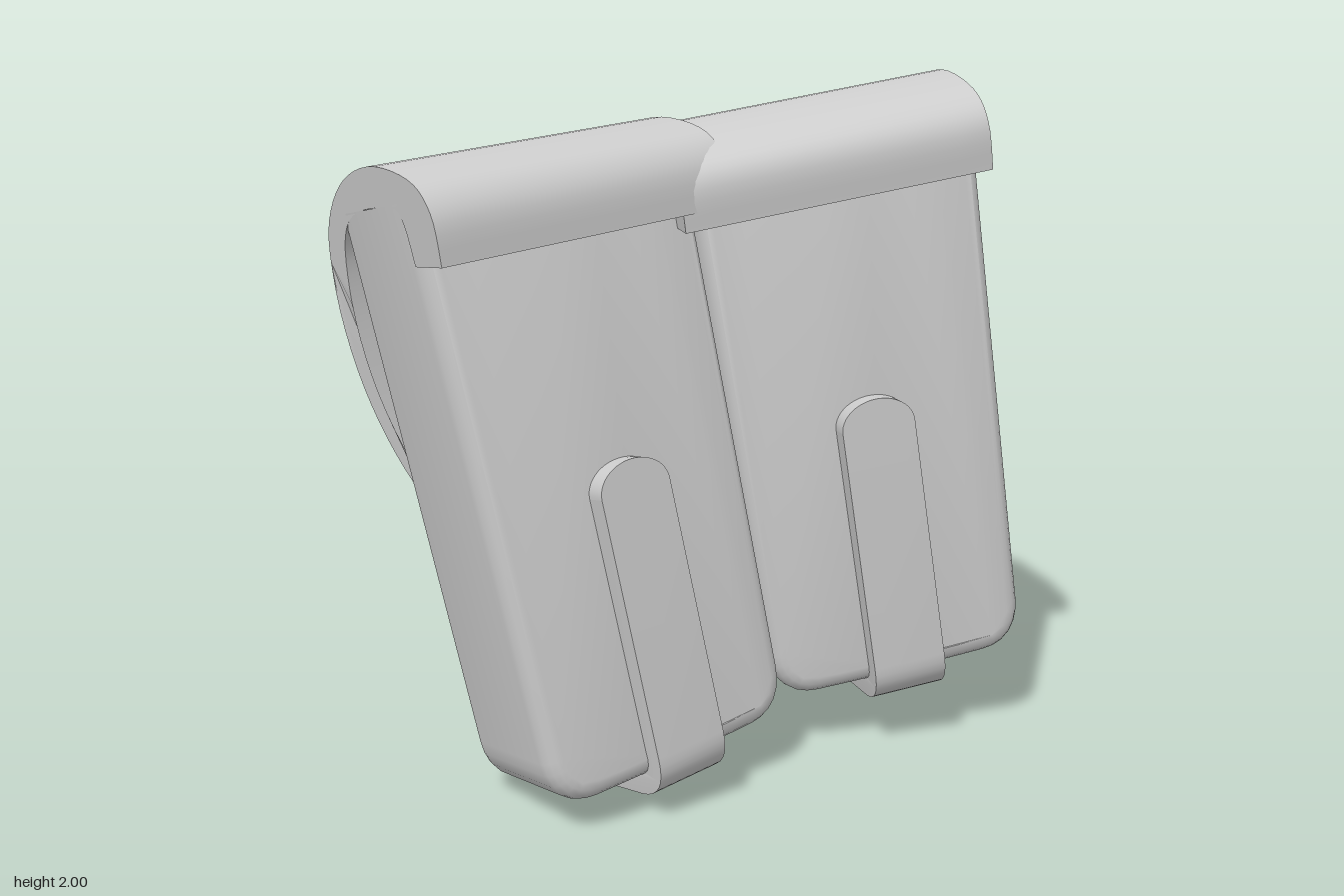
import * as THREE from 'three';
import { toCreasedNormals } from 'three/addons/utils/BufferGeometryUtils.js';

const material = new THREE.MeshStandardMaterial({ color: 0xcccccc });

function mesh(name, geometry, crease = 0.7) {
  const m = new THREE.Mesh(toCreasedNormals(geometry, crease), material);
  m.name = name;
  return m;
}

// Extrudes a side profile (x = -depth, y = height) across the width, centred on x = 0
function extrudeAcross(shape, width, steps = 1) {
  const g = new THREE.ExtrudeGeometry(shape, { depth: width, steps, bevelEnabled: false, curveSegments: 8 });
  return g.translate(0, 0, -width / 2).rotateY(Math.PI / 2);
}

function reshape(geometry, rule) {
  const p = geometry.attributes.position;
  const v = new THREE.Vector3();
  for (let i = 0; i < p.count; i++) {
    rule(v.fromBufferAttribute(p, i));
    p.setXYZ(i, v.x, v.y, v.z);
  }
  return geometry;
}

const sideSpline = (points) => new THREE.SplineCurve(points.map(([z, y]) => new THREE.Vector2(-z, y)));

// Soft box: rounded lower corners, tapering slightly towards the bottom
function makeBody() {
  const w = 0.375, top = 1.59, low = 0.05, r = 0.09;
  const s = new THREE.Shape();
  s.moveTo(-w, top);
  s.lineTo(-w, low + r);
  s.quadraticCurveTo(-w, low, -w + r, low);
  for (let i = 1; i <= 8; i++) s.lineTo(-w + r + (2 * (w - r) * i) / 8, low);
  s.quadraticCurveTo(w, low, w, low + r);
  s.lineTo(w, top);
  for (let i = 1; i < 8; i++) s.lineTo(w - (2 * w * i) / 8, top);
  const g = new THREE.ExtrudeGeometry(s, {
    depth: 0.34, bevelSize: 0.05, bevelThickness: 0.05, bevelSegments: 4, curveSegments: 6,
  }).translate(0, 0, -0.17);
  reshape(g, (v) => {
    v.x *= 0.93 + 0.08 * v.y / 1.6;
    v.z *= 1.02 - 0.5 * v.x * v.x;
  });
  return mesh('pouchBody', g);
}

// Cover: front lip, domed top and a long tongue narrowing down the back; sags towards the joint
function makeFlap(jointSide) {
  const outer = sideSpline([
    [0.32, 1.47], [0.325, 1.6], [0.25, 1.69], [0.05, 1.745], [-0.14, 1.72],
    [-0.28, 1.62], [-0.335, 1.47], [-0.36, 1.2], [-0.372, 0.95], [-0.375, 0.76],
  ]);
  const inner = sideSpline([
    [-0.305, 0.76], [-0.295, 0.95], [-0.28, 1.2], [-0.25, 1.42], [-0.2, 1.57],
    [-0.1, 1.635], [0.1, 1.635], [0.165, 1.6], [0.18, 1.48],
  ]);
  const s = new THREE.Shape([...outer.getPoints(44), ...inner.getPoints(36)]);
  const g = reshape(extrudeAcross(s, 2, 10), (v) => {
    const t = v.x;
    const k = v.z < 0 ? THREE.MathUtils.clamp((v.y - 0.76) / 0.71, 0, 1) : 1;
    v.x *= 0.445 - 0.15 * Math.pow(1 - k, 2.2);
    v.y -= 0.035 * (1 - k) * (1 - t * t) + 0.01 * k * (1 + jointSide * t);
  });
  return mesh('coverFlap', g);
}

// Strap wrapping under the pouch, wider behind, with a rounded end on the front
function makeStrap() {
  const group = new THREE.Group();
  group.name = 'strap';
  const w = 0.22, out = 0.28, inn = 0.2, front = 0.785, back = 0.95;
  const s = new THREE.Shape();
  s.moveTo(-out, front);
  s.lineTo(-out, 0.06);
  s.quadraticCurveTo(-out, -0.05, -out + 0.12, -0.065);
  s.lineTo(out - 0.12, -0.065);
  s.quadraticCurveTo(out, -0.05, out, 0.06);
  s.lineTo(out, back);
  s.lineTo(inn, back);
  s.lineTo(inn, 0.06);
  s.quadraticCurveTo(inn, 0.01, inn - 0.06, 0.01);
  s.lineTo(-inn + 0.06, 0.01);
  s.quadraticCurveTo(-inn, 0.01, -inn, 0.06);
  s.lineTo(-inn, front);
  const band = reshape(extrudeAcross(s, w), (v) => { if (v.z < 0) v.x *= 1.2; });
  group.add(mesh('strapBand', band));
  const end = new THREE.CylinderGeometry(w / 2, w / 2, out - inn, 24, 1, false, Math.PI / 2, Math.PI);
  end.rotateX(Math.PI / 2).scale(1, 0.75, 1).translate(0, front, (out + inn) / 2);
  group.add(mesh('strapEnd', end));
  return group;
}

// Low domed disc facing the back
function makeStud(name, radius, height, x, y, z) {
  const profile = [[0, 0], [radius, 0], [radius, height * 0.6], [radius * 0.85, height * 0.9], [0, height]];
  const g = new THREE.LatheGeometry(profile.map(([r, h]) => new THREE.Vector2(r, h)), 24);
  g.rotateX(-Math.PI / 2).translate(x, y, z);
  return mesh(name, g);
}

function makePouch(name, jointSide, right, up, origin, bodyOffset) {
  const pouch = new THREE.Group();
  pouch.name = name;
  const holder = new THREE.Group();
  holder.name = 'bodyWithStrap';
  holder.position.set(...bodyOffset);
  holder.add(makeBody(), makeStrap());
  for (const side of [-1, 1]) holder.add(makeStud('cornerRivet', 0.062, 0.06, side * 0.29, 0.12, -0.19));
  pouch.add(holder, makeFlap(jointSide), makeStud('closureButton', 0.112, 0.045, 0, 0.825, -0.36));

  // Lean and turn the pouch to its own axes
  const y = new THREE.Vector3(...up).normalize();
  const z = new THREE.Vector3(...right).cross(y).normalize();
  const x = new THREE.Vector3().crossVectors(y, z);
  pouch.quaternion.setFromRotationMatrix(new THREE.Matrix4().makeBasis(x, y, z));
  pouch.position.set(...origin);
  return pouch;
}

export function createModel() {
  const model = new THREE.Group();
  model.name = 'doublePouch';
  model.add(
    makePouch('rightPouch', 1, [0.6, 0.134, -0.791], [-0.203, 0.98, 0.021], [-0.068, 0.102, 0.232], [-0.015, 0, 0]),
    makePouch('leftPouch', -1, [0.854, 0.154, -0.497], [-0.138, 0.988, 0.069], [0.472, 0.196, -0.387], [0.045, 0.01, -0.035]),
  );
  return model;
}
